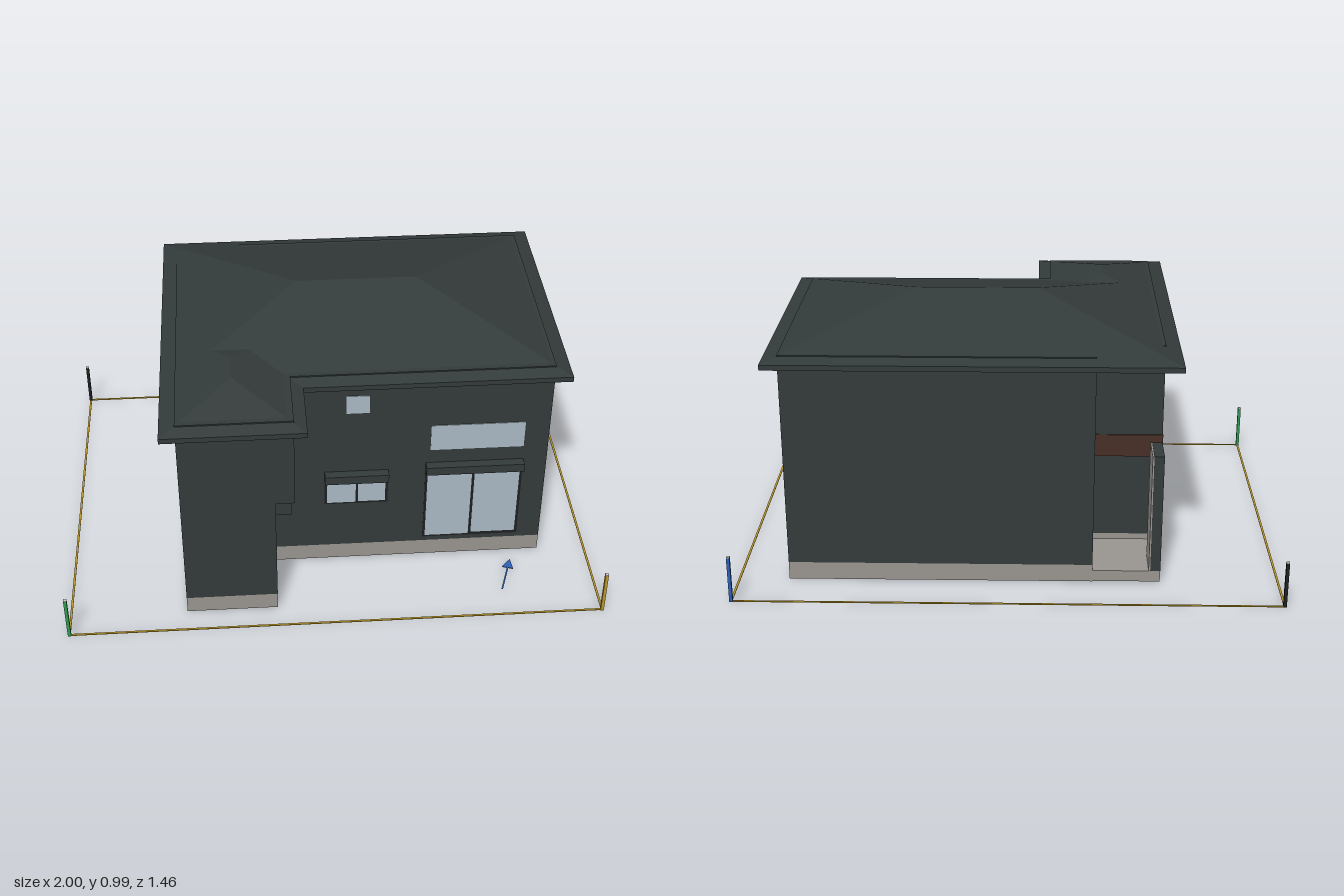
import * as THREE from 'three';

const mat = (name, color) =>
  Object.assign(new THREE.MeshStandardMaterial({ color }), { name });

export function createModel() {
  const house = new THREE.Group();
  house.name = 'house';

  const charcoal = mat('charcoal cladding', 0x333a3a);
  const black = mat('black trim', 0x1c1f20);
  const glass = mat('window glass', 0xa9b7c2);
  const concrete = mat('concrete', 0x989490);
  const wood = mat('dark wood', 0x472f26);
  const floorBrown = mat('floor brown', 0x38251f);
  const gold = mat('boundary gold', 0xb8962a);
  const green = mat('marker green', 0x2c9a50);
  const blue = mat('marker blue', 0x2c60b4);
  const capWhite = mat('cap white', 0xd0d0c8);

  const add = (name, geo, material) => {
    const m = new THREE.Mesh(geo, material);
    m.name = name;
    house.add(m);
    return m;
  };

  // Box given by its limits on each axis
  const box = (name, material, x0, x1, y0, y1, z0, z1) => {
    const m = add(name, new THREE.BoxGeometry(x1 - x0, y1 - y0, z1 - z0), material);
    m.position.set((x0 + x1) / 2, (y0 + y1) / 2, (z0 + z1) / 2);
  };

  // Upright prism over a clockwise floor plan of [x, z] points, optionally hollow
  const toPoints = (plan) => plan.map(([x, z]) => new THREE.Vector2(x, -z));
  const prism = (name, material, plan, y0, y1, hole) => {
    const shape = new THREE.Shape(toPoints(plan));
    if (hole) shape.holes.push(new THREE.Path(toPoints(hole).reverse()));
    const geo = new THREE.ExtrudeGeometry(shape, { depth: y1 - y0, bevelEnabled: false });
    geo.rotateX(-Math.PI / 2).translate(0, y0, 0);
    return add(name, geo, material);
  };

  // Floor plan with an entrance notch at the back and a wing at the front;
  // t insets the outline
  const plan = (notchZ, wingX, t = 0) => [
    [-0.56 + t, notchZ + t], [-0.31 + t, notchZ + t], [-0.31 + t, -0.55 + t],
    [0.81 - t, -0.55 + t], [0.81 - t, 0.37 - t], [wingX - t, 0.37 - t],
    [wingX - t, 0.63 - t], [-0.56 + t, 0.63 - t],
  ];

  // Foundation, floor and storeys; the upper walls just break the roof surface
  prism('foundation', concrete, plan(-0.29, -0.22), 0, 0.068, plan(-0.29, -0.22, 0.03));
  prism('groundFloor', floorBrown, plan(-0.29, -0.22, 0.028), 0.045, 0.067);
  prism('lowerWalls', charcoal, plan(-0.29, -0.22), 0.068, 0.51);
  prism('upperWalls', charcoal, plan(-0.42, -0.15), 0.51, 0.88);
  box('wingOverhangBeam', charcoal, -0.23, -0.162, 0.448, 0.51, 0.36, 0.62);

  // Entrance porch
  box('porchSlab', concrete, -0.559, -0.33, 0.002, 0.045, -0.55, -0.09);
  box('porchSlabEdge', concrete, -0.34, -0.31, 0.002, 0.045, -0.55, -0.28);
  box('porchWall', charcoal, -0.56, -0.523, 0.045, 0.505, -0.55, -0.42);
  box('porchWallLining', concrete, -0.523, -0.517, 0.045, 0.503, -0.549, -0.42);
  box('porchCeiling', wood, -0.562, -0.31, 0.45, 0.535, -0.424, -0.29);
  box('upperSoffit', wood, -0.56, -0.31, 0.838, 0.842, -0.55, -0.42);

  // Hip roof: a flat fascia with four slopes above, pitch shared by all
  const pitch = 0.245, eaveLow = 0.843, eave = 0.863;
  const hipRoof = (name, x0, x1, z0, z1) => {
    const run = Math.min(x1 - x0, z1 - z0) / 2;
    const top = eave + run * pitch;
    const ring = (y, d) => [
      [x0 + d, y, z1 - d], [x1 - d, y, z1 - d], [x1 - d, y, z0 + d], [x0 + d, y, z0 + d],
    ];
    const rings = [ring(eaveLow, 0), ring(eave, 0), ring(top, run)];
    const pos = [];
    const quad = (a, b, c, d) => pos.push(...a, ...b, ...c, ...a, ...c, ...d);
    for (let r = 0; r < 2; r++) {
      for (let i = 0; i < 4; i++) {
        const j = (i + 1) % 4;
        quad(rings[r][i], rings[r][j], rings[r + 1][j], rings[r + 1][i]);
      }
    }
    quad(...rings[0].slice().reverse());
    const geo = new THREE.BufferGeometry();
    geo.setAttribute('position', new THREE.Float32BufferAttribute(pos, 3));
    geo.computeVertexNormals();
    add(name, geo, charcoal);
  };
  hipRoof('mainRoof', -0.615, 0.865, -0.604, 0.42);
  hipRoof('wingRoof', -0.615, -0.105, 0.045, 0.68);

  // Front windows
  const frontPane = (name, x0, x1, y0, y1) =>
    box(name, glass, x0, x1, y0, y1, 0.368, 0.3725);
  frontPane('smallFrontWindow', 0.053, 0.138, 0.704, 0.782);
  frontPane('wideFrontWindow', 0.368, 0.718, 0.518, 0.632);
  frontPane('kitchenPane', -0.018, 0.091, 0.282, 0.393);
  frontPane('kitchenPane', 0.1, 0.203, 0.284, 0.381);
  frontPane('terracePane', 0.362, 0.531, 0.096, 0.417);
  frontPane('terracePane', 0.541, 0.712, 0.102, 0.411);
  box('kitchenFrame', black, -0.027, 0.213, 0.275, 0.4, 0.367, 0.3713);
  box('terraceFrame', black, 0.353, 0.722, 0.088, 0.426, 0.367, 0.3713);
  box('kitchenHood', charcoal, -0.027, 0.213, 0.397, 0.432, 0.37, 0.405);
  box('terraceHood', charcoal, 0.353, 0.722, 0.422, 0.457, 0.37, 0.405);

  // Side windows
  box('wingWindow', glass, -0.224, -0.2185, 0.252, 0.353, 0.527, 0.596);
  box('rightWindow', glass, 0.806, 0.8115, 0.252, 0.353, -0.37, -0.338);
  for (const z of [-0.16, 0.41]) {
    box('upperLeftWindow', glass, -0.5615, -0.556, 0.704, 0.782, z - 0.043, z + 0.043);
  }

  // Plot boundary with a capped marker post at each corner
  const w = 0.004, p = 0.006, bx = 0.994, bz = 0.726;
  for (const s of [-1, 1]) {
    box('boundaryLine', gold, -bx, bx, 0, 0.003, s * bz - w, s * bz + w);
    box('boundaryLine', gold, s * bx - w, s * bx + w, 0, 0.003, -bz, bz);
  }
  const posts = [[-1, 1, green], [1, 1, gold], [1, -1, blue], [-1, -1, black]];
  for (const [sx, sz, m] of posts) {
    const x = sx * bx, z = sz * bz;
    box('cornerPost', m, x - p, x + p, 0, 0.176, z - p, z + p);
    box('cornerPostCap', capWhite, x - p, x + p, 0.176, 0.18, z - p, z + p);
  }

  // Approach arrow lying on the ground
  const approach = prism('approachArrow', blue, [
    [-0.003, 0], [-0.003, -0.12], [-0.022, -0.12], [0, -0.17],
    [0.022, -0.12], [0.003, -0.12], [0.003, 0],
  ], 0, 0.003);
  approach.position.set(0.638, 0, 0.592);
  approach.rotation.y = -0.33;

  return house;
}
